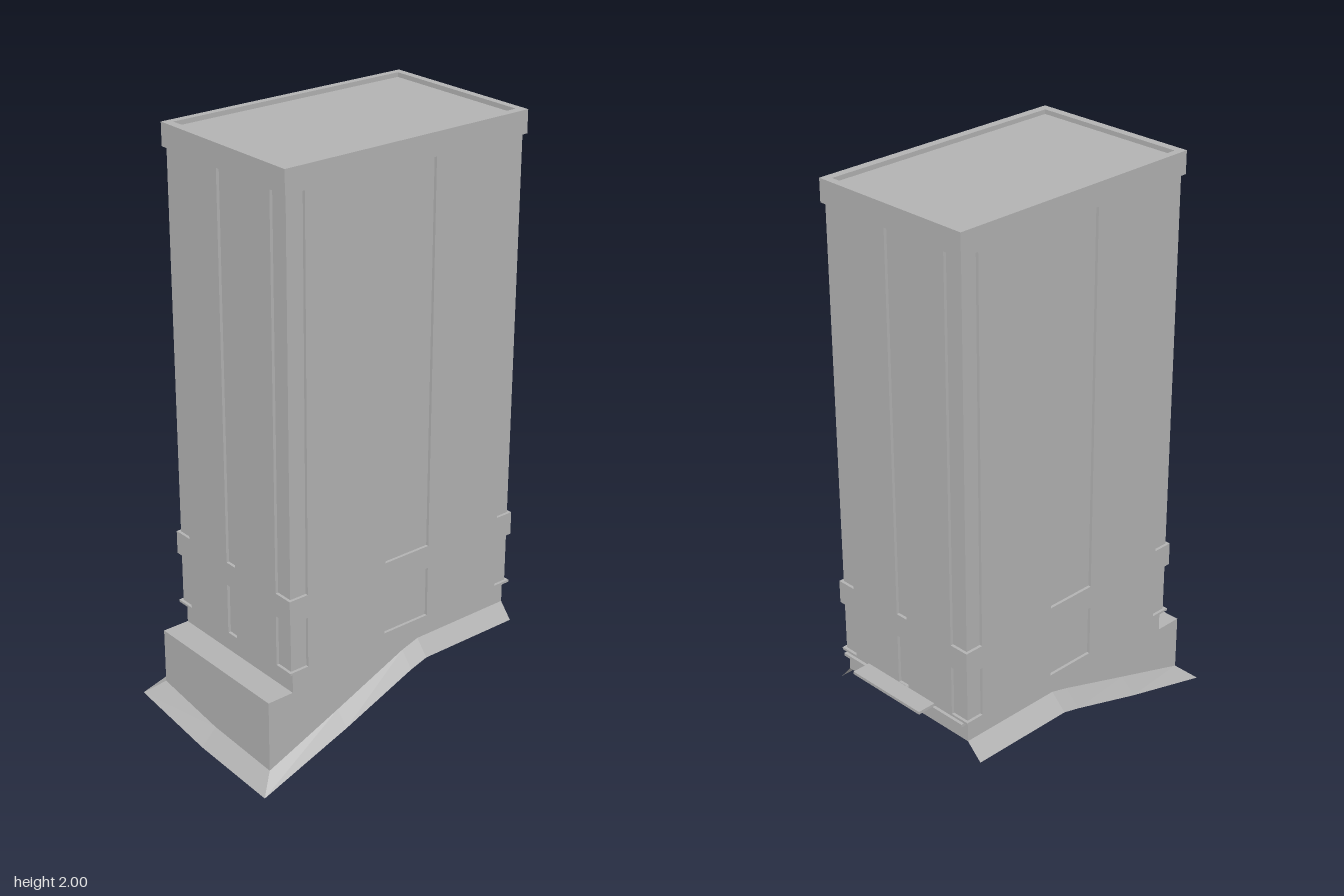
import * as THREE from 'three';

const concrete = new THREE.MeshStandardMaterial({ color: 0xb2b2b2, side: THREE.DoubleSide, flatShading: true });
concrete.name = 'concrete grey';

// Tower footprint
const X0 = -0.43, X1 = 0.495, Z0 = -0.29, Z1 = 0.3;
const BREAKS_X = [-0.36, -0.05, 0.13, 0.43];
const BREAKS_Z = [-0.22, -0.02, 0.025, 0.23];

// Footprint whose corners and mid strips are sunk by d, anticlockwise from front left
function outline(d) {
  const steps = [d, 0, 0, d, d, 0, 0, d];
  const pts = [];
  const side = (corner, breaks, place) => {
    pts.push(corner);
    steps.forEach((s, i) => pts.push(place(breaks[i >> 1], s)));
  };
  const backX = [...BREAKS_X].reverse(), backZ = [...BREAKS_Z].reverse();
  side([X0 + d, Z1 - d], BREAKS_X, (u, s) => [u, Z1 - s]);
  side([X1 - d, Z1 - d], backZ, (u, s) => [X1 - s, u]);
  side([X1 - d, Z0 + d], backX, (u, s) => [u, Z0 + s]);
  side([X0 + d, Z0 + d], BREAKS_Z, (u, s) => [X0 + s, u]);
  return pts;
}

// Footprint squeezed into a smaller rectangle
function squeezed(x0, x1, z0, z1) {
  const fit = (v, a, b, c, d) => (v === a ? c : v === b ? d : Math.min(d, Math.max(c, v)));
  return outline(0).map(([x, z]) => [fit(x, X0, X1, x0, x1), fit(z, Z0, Z1, z0, z1)]);
}

// Surface joining successive rows of 3D points
function skin(name, rows, closed = false) {
  const pos = [];
  for (let r = 0; r + 1 < rows.length; r++) {
    const lo = rows[r], hi = rows[r + 1], n = lo.length;
    for (let i = 0; i < (closed ? n : n - 1); i++) {
      const j = (i + 1) % n;
      pos.push(...lo[i], ...lo[j], ...hi[j], ...lo[i], ...hi[j], ...hi[i]);
    }
  }
  const geo = new THREE.BufferGeometry();
  geo.setAttribute('position', new THREE.Float32BufferAttribute(pos, 3));
  geo.computeVertexNormals();
  return part(name, geo);
}

function part(name, geo, x = 0, y = 0, z = 0) {
  const mesh = new THREE.Mesh(geo, concrete);
  mesh.name = name;
  mesh.position.set(x, y, z);
  return mesh;
}

export function createModel() {
  const model = new THREE.Group();
  model.name = 'tower';

  // Tower shell: plain bands alternate with recessed bands, ending in a sunken roof
  const plain = outline(0), sunk = outline(0.01);
  const rings = [
    [squeezed(-0.41, 0.48, -0.275, 0.285), 0.378],
    [plain, 0.378], [plain, 0.386],
    [sunk, 0.386], [sunk, 0.56], [plain, 0.56], [plain, 0.64],
    [sunk, 0.64], [sunk, 1.925], [plain, 1.925], [plain, 2],
  ];
  const roofEdge = squeezed(-0.402, 0.47, -0.266, 0.272);
  rings.push([roofEdge, 2], [roofEdge, 1.985]);
  model.add(skin('towerShell', rings.map(([o, y]) => o.map(([x, z]) => [x, y, z])), true));

  // Roof slab
  model.add(part('roof', new THREE.PlaneGeometry(0.872, 0.538).rotateX(-Math.PI / 2), 0.034, 1.985, 0.003));

  // Base side walls, open underneath
  const zf = 0.285, zb = -0.275, xl = -0.505, ledge = 0.303;
  const frontEdge = [[0.48, 0.303], [0.105, 0.303], [0.04, 0.283], [-0.23, 0.168], [xl, 0.055]];
  const backEdge = [[0.48, 0.303], [0.105, 0.303], [0.04, 0.285], [-0.23, 0.198], [xl, 0.11]];
  for (const [name, edge, z] of [['baseFrontWall', frontEdge, zf], ['baseBackWall', backEdge, zb]]) {
    const top = [[xl, ledge], [-0.41, ledge], [-0.41, 0.378], [0.48, 0.378]];
    const shape = new THREE.Shape([...edge, ...top].map(([x, y]) => new THREE.Vector2(x, y)));
    const geo = new THREE.ShapeGeometry(shape);
    if (z < 0) {
      geo.setIndex(Array.from(geo.index.array).reverse());
      geo.computeVertexNormals();
    }
    model.add(part(name, geo, 0, 0, z));
  }

  // Stepped left end of the base
  const endEdge = [[zb, 0.11], [0, 0.07], [zf, 0.055]];
  model.add(skin('baseLeftWall', [
    endEdge.map(([z, y]) => [xl, y, z]),
    ...[[xl, ledge], [-0.41, ledge], [-0.41, 0.378]].map(([x, y]) => endEdge.map(([z]) => [x, y, z])),
  ]));

  // Right end band over the opening
  model.add(skin('baseRightBand', [0.303, 0.378].map((y) => [[0.48, y, zf], [0.48, y, zb]])));

  // Flared skirt around three sides
  const inner = [
    ...frontEdge.map(([x, y]) => [x, y, zf]),
    [xl, 0.07, 0],
    ...[...backEdge].reverse().map(([x, y]) => [x, y, zb]),
  ];
  const outer = [
    [0.48, 0.25, 0.33], [0.105, 0.25, 0.33], [0.04, 0.23, 0.33], [-0.23, 0.12, 0.33], [-0.56, 0, 0.33],
    [-0.56, 0.015, 0],
    [-0.56, 0.06, -0.33], [-0.23, 0.15, -0.33], [0.04, 0.233, -0.33], [0.105, 0.25, -0.33], [0.48, 0.25, -0.33],
  ];
  model.add(skin('skirt', [inner, outer]));

  // Entrance sill and projecting platform
  model.add(part('sill', new THREE.BoxGeometry(0.023, 0.01, 0.555), 0.4915, 0.37, 0.006));
  model.add(part('platform', new THREE.BoxGeometry(0.075, 0.01, 0.31), 0.5225, 0.38, 0.015));
  return model;
}
